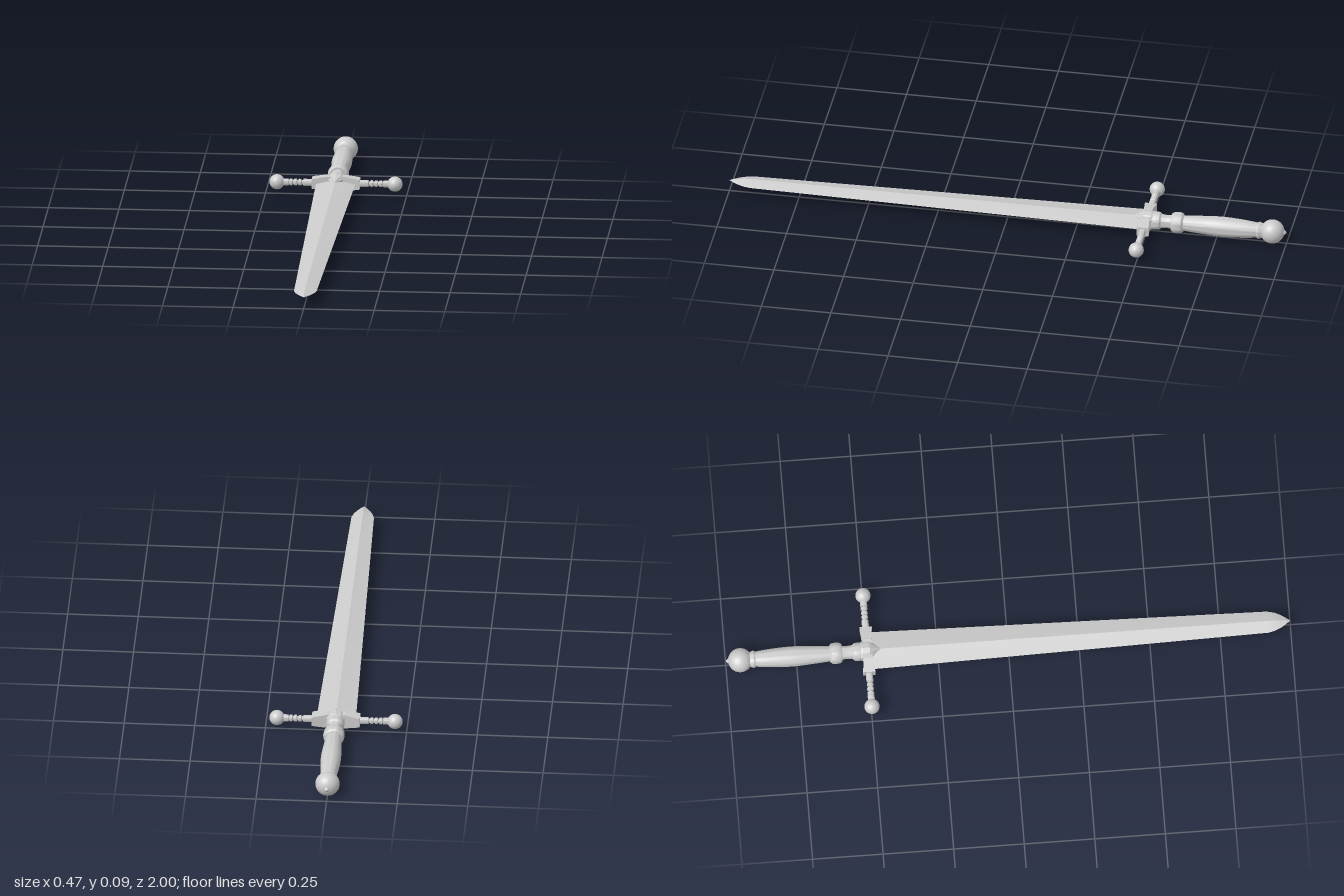
import * as THREE from 'three';
import { toCreasedNormals } from 'three/addons/utils/BufferGeometryUtils.js';

const material = new THREE.MeshStandardMaterial({ color: 0xcccccc, side: THREE.DoubleSide });

// Skins rings of [x, y] corners (counter-clockwise), each placed at a depth z
function loft(sections) {
  const n = sections[0].ring.length, positions = [], index = [];
  for (const { z, ring } of sections) for (const [x, y] of ring) positions.push(x, y, z);
  for (let i = 0; i < sections.length - 1; i++) {
    for (let j = 0; j < n; j++) {
      const a = i * n + j, b = i * n + (j + 1) % n;
      index.push(a, b, b + n, a, b + n, a + n);
    }
  }
  const last = (sections.length - 1) * n;
  for (let j = 1; j < n - 1; j++) {
    index.push(0, j + 1, j, last, last + j, last + j + 1);
  }
  const geometry = new THREE.BufferGeometry();
  geometry.setAttribute('position', new THREE.Float32BufferAttribute(positions, 3));
  geometry.setIndex(index);
  return toCreasedNormals(geometry, 0.15);
}

const diamond = (w, h) => [[w, 0], [0, h], [-w, 0], [0, -h]];
const octagon = (w, h) => [[w, -h * 0.45], [w, h * 0.45], [w * 0.6, h * 0.85], [0, h],
  [-w * 0.6, h * 0.85], [-w, h * 0.45], [-w, -h * 0.45], [-w * 0.6, -h * 0.85], [0, -h], [w * 0.6, -h * 0.85]];
const rect = (w, h) => [[w, -h], [w, h], [-w, h], [-w, -h]];

function turned(profile, segments = 32) {
  const points = profile.map(([r, s]) => new THREE.Vector2(r, s));
  return toCreasedNormals(new THREE.LatheGeometry(points, segments), 0.6);
}

function add(parent, name, geometry) {
  const mesh = new THREE.Mesh(geometry, material);
  mesh.name = name;
  parent.add(mesh);
  return mesh;
}

export function createModel() {
  const sword = new THREE.Group();
  sword.name = 'sword';
  const body = new THREE.Group();
  body.name = 'body';
  body.position.y = 0.044;
  sword.add(body);

  // Blade: diamond section, gentle taper, rounded point
  add(body, 'blade', loft([
    [-0.5, 0.07, 0.015], [0.92, 0.04, 0.013], [0.945, 0.034, 0.012],
    [0.967, 0.024, 0.009], [0.985, 0.012, 0.006], [1, 0.0005, 0.0005],
  ].map(([z, w, h]) => ({ z, ring: diamond(w, h) }))));

  // Crossguard block, thicker in the middle and flared at its ends
  const block = add(body, 'guardBlock', loft([
    [-0.085, 0.022, 0.017], [-0.035, 0.016, 0.026], [0.035, 0.016, 0.026], [0.085, 0.022, 0.017],
  ].map(([z, w, h]) => ({ z, ring: rect(w, h) }))));
  block.rotation.y = Math.PI / 2;
  block.position.z = -0.498;

  // Pointed langet over the root of the blade
  add(body, 'langet', loft([
    [-0.53, 0.026, 0.028], [-0.515, 0.032, 0.035], [-0.49, 0.032, 0.036], [-0.45, 0.001, 0.016],
  ].map(([z, w, h]) => ({ z, ring: octagon(w, h) }))));

  // Guard arms: rod with three beads and a ball end
  const armProfile = [[0, 0.08], [0.0125, 0.08], [0.0125, 0.115], [0.008, 0.117]];
  for (const s of [0.127, 0.143, 0.159]) {
    armProfile.push([0.008, s - 0.007], [0.012, s - 0.004], [0.012, s + 0.004], [0.008, s + 0.007]);
  }
  armProfile.push([0.0125, 0.168], [0.0125, 0.195], [0, 0.195]);
  for (const [side, sign] of [['left', 1], ['right', -1]]) {
    const arm = new THREE.Group();
    arm.name = side + 'GuardArm';
    arm.rotation.z = -sign * Math.PI / 2;
    arm.position.z = -0.498;
    add(arm, 'beadedRod', turned(armProfile, 24));
    add(arm, 'ballEnd', new THREE.SphereGeometry(0.027, 32, 20)).position.y = 0.209;
    body.add(arm);
  }

  // Turned hilt, measured backwards from the middle of the model
  const hilt = new THREE.Group();
  hilt.name = 'hilt';
  hilt.rotation.x = -Math.PI / 2;
  body.add(hilt);
  add(hilt, 'collar', turned([
    [0, 0.515], [0.03, 0.515], [0.033, 0.53], [0.031, 0.546], [0.025, 0.552],
    [0.023, 0.575], [0.025, 0.59], [0, 0.59],
  ]));
  add(hilt, 'ring', turned([
    [0, 0.588], [0.031, 0.588], [0.037, 0.597], [0.038, 0.612], [0.036, 0.625], [0.029, 0.632], [0, 0.632],
  ]));
  const gripCurve = new THREE.SplineCurve([
    [0.027, 0.63], [0.031, 0.68], [0.0355, 0.75], [0.035, 0.8], [0.031, 0.86], [0.026, 0.9],
  ].map(([r, s]) => new THREE.Vector2(r, s)));
  add(hilt, 'grip', turned(gripCurve.getPoints(20).map(p => [p.x, p.y])));
  add(hilt, 'pommelCollar', turned([
    [0, 0.895], [0.028, 0.895], [0.031, 0.902], [0.028, 0.91], [0.025, 0.92], [0, 0.92],
  ]));
  add(hilt, 'pommel', new THREE.SphereGeometry(0.043, 40, 24)).position.y = 0.949;
  add(hilt, 'pommelRivet', turned([[0.01, 0.985], [0.008, 0.994], [0.004, 0.998], [0, 1]], 12));

  return sword;
}
